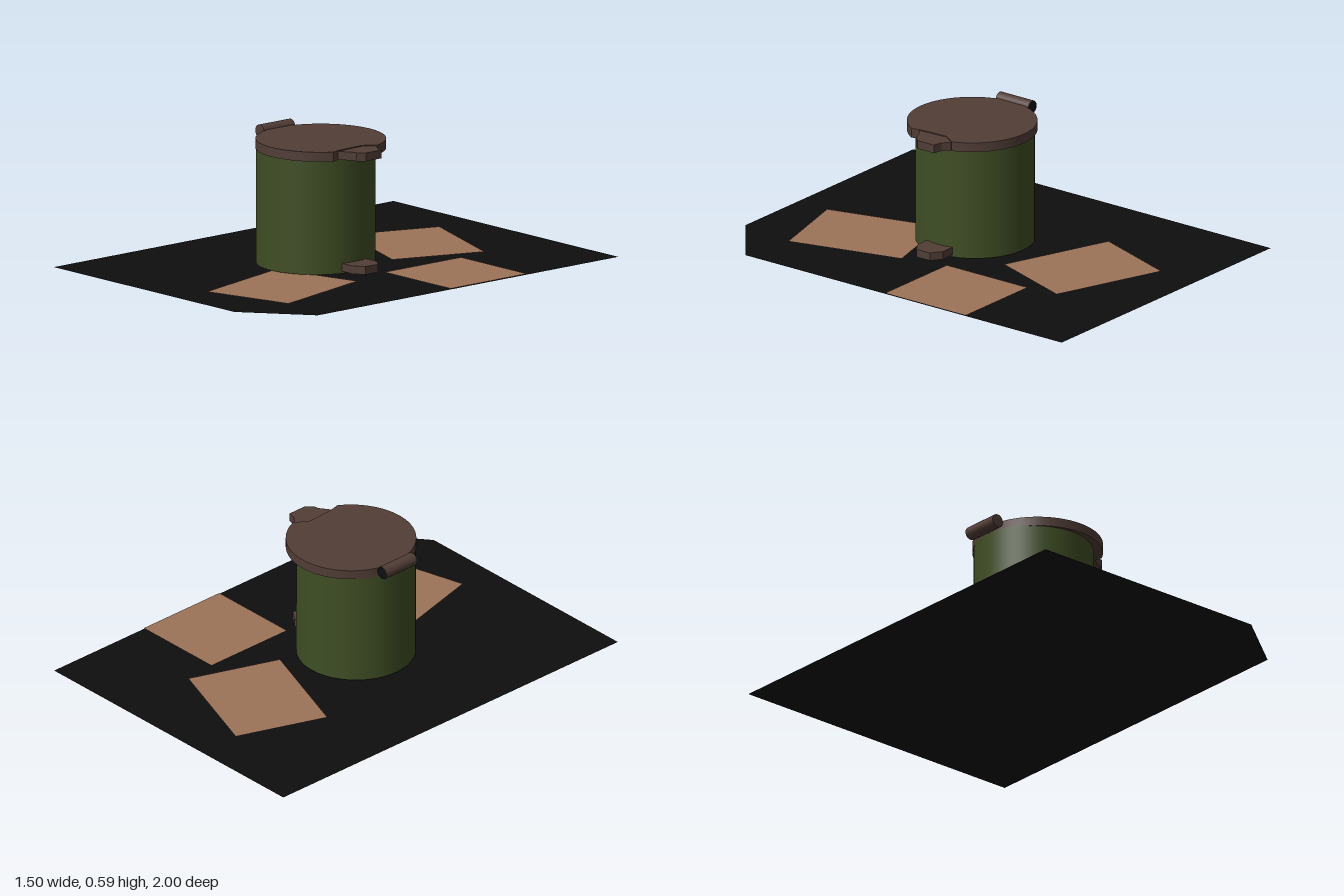
import * as THREE from 'three';
import { toCreasedNormals } from 'three/addons/utils/BufferGeometryUtils.js';

export function createModel() {
  const model = new THREE.Group();
  const material = (name, color, side = THREE.FrontSide) => {
    const m = new THREE.MeshStandardMaterial({ color, side });
    m.name = name;
    return m;
  };
  const green = material('olive green', 0x3f4e24);
  const brown = material('dark brown', 0x513d36);
  const tan = material('cardboard tan', 0x9c7257, THREE.DoubleSide);
  const black = material('black', 0x0e0e0e, THREE.DoubleSide);

  const add = (name, geometry, mat, x = 0, y = 0, z = 0) => {
    const mesh = new THREE.Mesh(geometry, mat);
    mesh.name = name;
    mesh.position.set(x, y, z);
    model.add(mesh);
    return mesh;
  };
  // Outlines are given as [x, z] seen from above.
  const outline = (pts) => new THREE.Shape(pts.map(([x, z]) => new THREE.Vector2(x, -z)));
  const slab = (pts, depth) =>
    new THREE.ExtrudeGeometry(outline(pts), { depth, bevelEnabled: false }).rotateX(-Math.PI / 2);
  const sheet = (pts) => new THREE.ShapeGeometry(outline(pts)).rotateX(-Math.PI / 2);

  // Ground sheet with one clipped corner
  add('groundSheet', sheet([[-0.75, -1], [0.745, -1], [0.745, 0.77], [0.45, 1], [-0.75, 1]]), black);

  // Flat cardboard pieces
  const pieces = [
    [[-0.22, -0.8], [0.29, -0.615], [0.14, -0.205], [-0.37, -0.39]],
    [[0.305, -0.463], [0.745, -0.463], [0.745, -0.013], [0.305, -0.013]],
    [[0.36, 0.195], [0.497, 0.722], [0.08, 0.833], [-0.057, 0.306]],
  ];
  pieces.forEach((pts, i) => add('cardboardPiece' + (i + 1), sheet(pts), tan, 0, 0.004, 0));

  // Canister body
  add('body', new THREE.CylinderGeometry(0.264, 0.264, 0.525, 64), green, -0.033, 0.2725, 0.092);

  // Lid: a disc with a shallow notch on the latch side
  const rim = [];
  const start = 0.53, end = Math.PI * 2 - 0.345;
  for (let i = 0; i <= 64; i++) {
    const a = start + ((end - start) * i) / 64;
    rim.push([-0.005 + 0.288 * Math.cos(a), 0.0875 + 0.288 * Math.sin(a)]);
  }
  rim.push([0.225, 0.05], [0.233, 0.19]);
  add('lid', toCreasedNormals(slab(rim, 0.043), 0.5), brown, 0, 0.53, 0);

  // Faceted latch in the notch and matching foot tab
  add('latch', slab([[0.2, -0.005], [0.266, -0.005], [0.296, 0.024], [0.338, 0.034], [0.338, 0.124],
    [0.31, 0.156], [0.286, 0.16], [0.233, 0.198], [0.2, 0.198]], 0.038), brown, 0, 0.531, 0);
  add('footTab', slab([[0.19, 0.02], [0.29, 0.02], [0.34, 0.055], [0.34, 0.13], [0.29, 0.163],
    [0.19, 0.163]], 0.036), brown, 0, 0.02, 0);

  // Hinge barrel along z, dark at its back end
  add('hingeBarrel', new THREE.CylinderGeometry(0.03, 0.03, 0.182, 20).rotateX(Math.PI / 2),
    brown, -0.313, 0.564, 0.083);
  add('hingeEnd', new THREE.CircleGeometry(0.029, 20).rotateY(Math.PI), black, -0.313, 0.564, -0.0095);

  return model;
}
